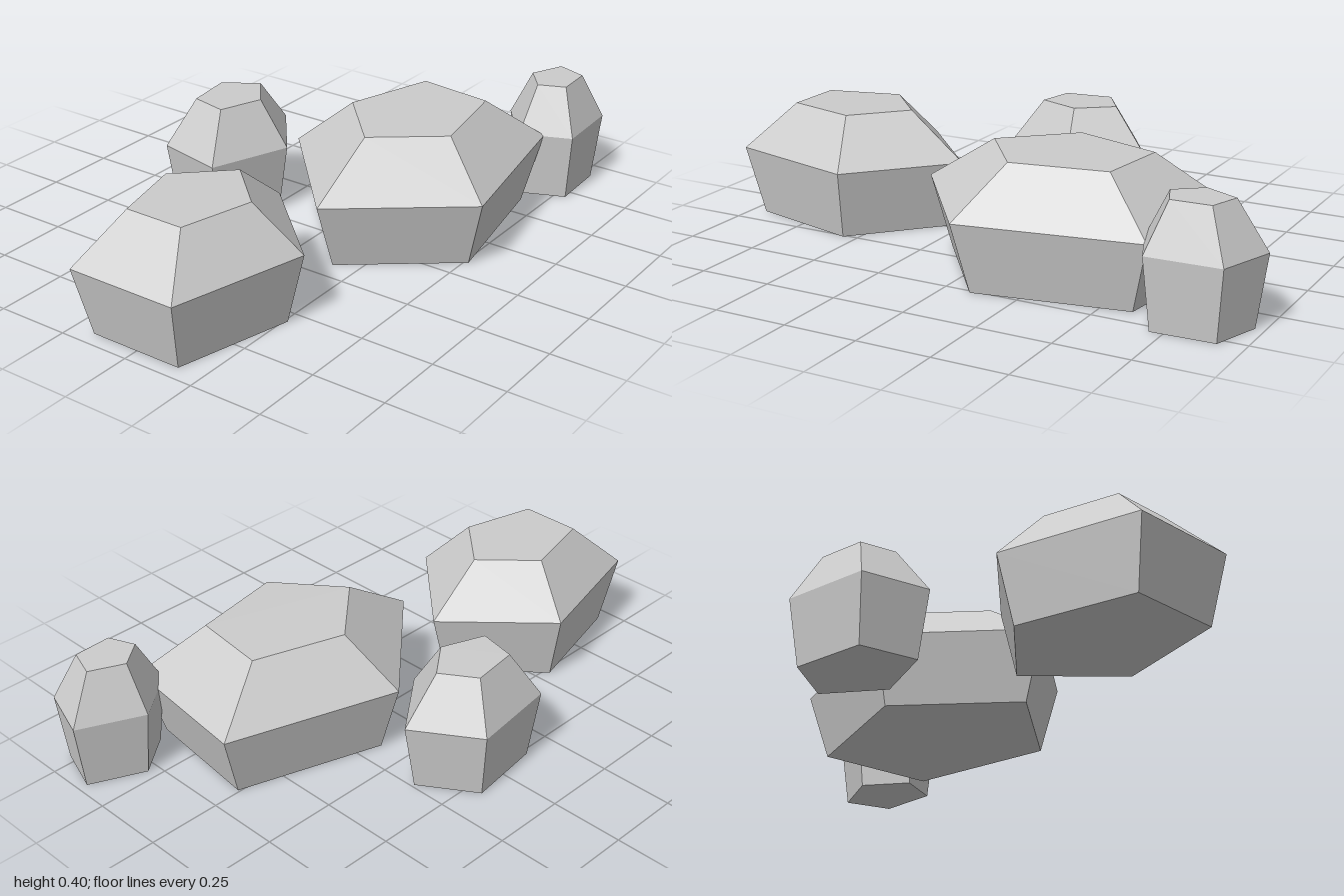
import * as THREE from 'three';

// Each rock is one outline at its widest, [x, z] clockwise from above,
// scaled about its centre for the foot and the flat top.
const ROCKS = [
  { name: 'leftRock', centre: [-0.66, -0.005],
    outline: [[-1, -0.2], [-0.53, -0.32], [-0.235, -0.005], [-0.53, 0.31], [-1, 0.19]] },
  { name: 'largeRock', centre: [0.27, 0.183],
    outline: [[-0.26, 0.16], [0.145, -0.21], [0.72, -0.025], [0.662, 0.465], [0.06, 0.575]] },
  { name: 'backRock', centre: [0.02, -0.4],
    outline: [[-0.165, -0.54], [0.14, -0.58], [0.28, -0.365], [0.06, -0.195], [-0.215, -0.3]] },
  { name: 'smallRock', centre: [0.8, 0.425],
    outline: [[0.785, 0.262], [1, 0.36], [0.935, 0.55], [0.69, 0.56], [0.62, 0.39]] },
];

// Height and outline scale of the foot, waist and top
const LEVELS = [[0, 0.845], [0.235, 1], [0.395, 0.53]];

function rockGeometry(outline, [cx, cz]) {
  const n = outline.length;
  const positions = [];
  const index = [];
  for (const [y, s] of LEVELS) {
    for (const [x, z] of outline) positions.push(cx + (x - cx) * s, y, cz + (z - cz) * s);
  }
  // Sides
  for (let level = 0; level < LEVELS.length - 1; level++) {
    for (let i = 0; i < n; i++) {
      const a = level * n + i;
      const b = level * n + (i + 1) % n;
      index.push(a, a + n, b + n, a, b + n, b);
    }
  }
  // Underside and top
  const top = (LEVELS.length - 1) * n;
  for (let i = 1; i < n - 1; i++) {
    index.push(0, i, i + 1, top, top + i + 1, top + i);
  }
  const indexed = new THREE.BufferGeometry();
  indexed.setAttribute('position', new THREE.Float32BufferAttribute(positions, 3));
  indexed.setIndex(index);
  const geometry = indexed.toNonIndexed();
  geometry.computeVertexNormals();
  return geometry;
}

export function createModel() {
  const group = new THREE.Group();
  group.name = 'rocks';
  const stone = new THREE.MeshStandardMaterial({ color: 0xcccccc, flatShading: true });
  for (const { name, centre, outline } of ROCKS) {
    const rock = new THREE.Mesh(rockGeometry(outline, centre), stone);
    rock.name = name;
    group.add(rock);
  }
  return group;
}
